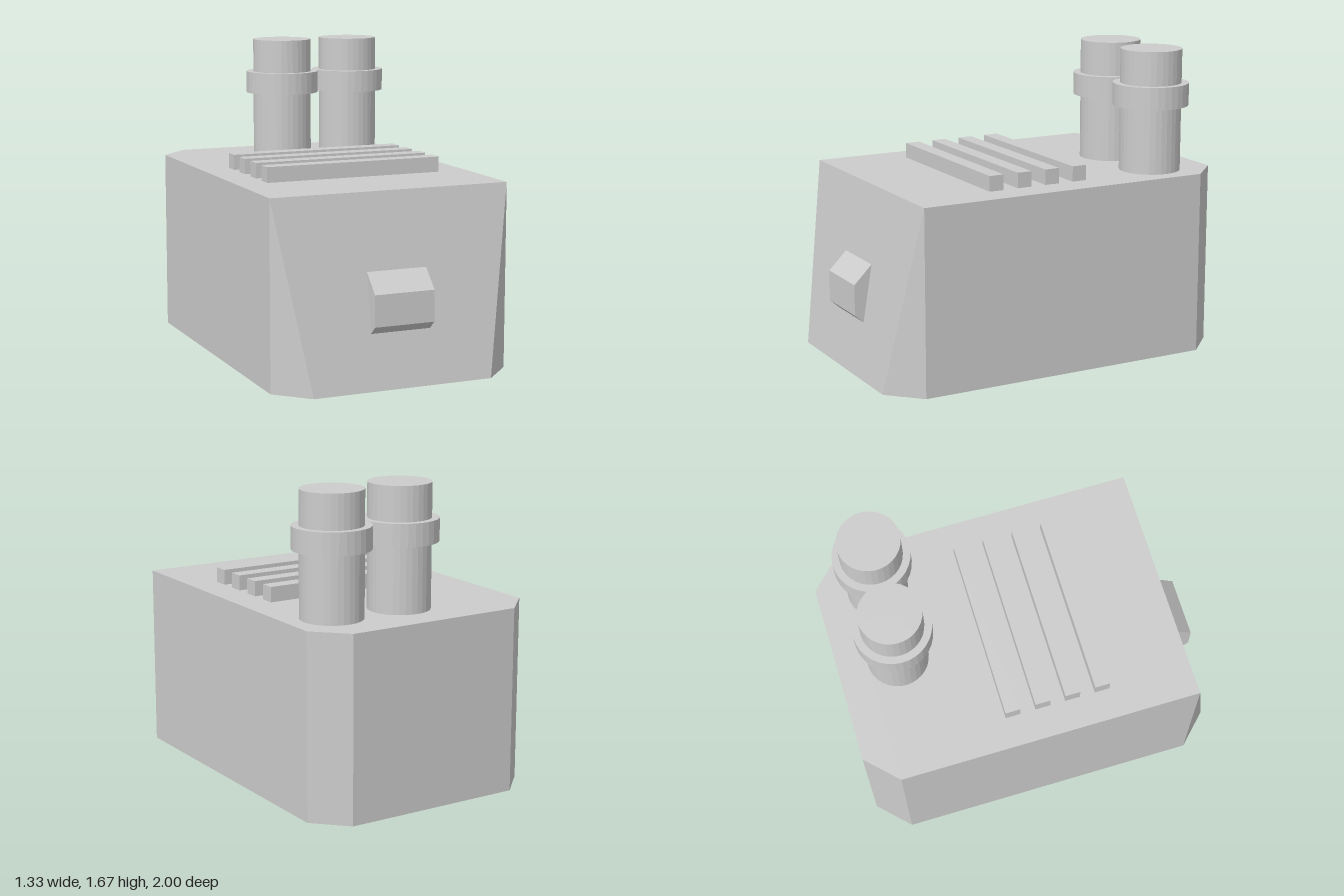
import * as THREE from 'three';
import { ConvexGeometry } from 'three/addons/geometries/ConvexGeometry.js';

const grey = new THREE.MeshStandardMaterial({ color: 0xcccccc, flatShading: true });
grey.name = 'grey';

function add(parent, name, geometry, x = 0, y = 0, z = 0) {
  const mesh = new THREE.Mesh(geometry, grey);
  mesh.name = name;
  mesh.position.set(x, y, z);
  parent.add(mesh);
  return mesh;
}

// Housing: chamfered corners, front face leaning back so its chamfers taper to a point
function housingGeometry() {
  const points = [];
  for (const s of [-1, 1]) {
    for (const y of [0, 1]) {
      points.push(
        new THREE.Vector3(s * 0.5, y, -1),
        new THREE.Vector3(s * 0.667, y, -0.833),
        new THREE.Vector3(s * 0.667, y, 0.833)
      );
    }
    points.push(new THREE.Vector3(s * 0.5, 0, 1));
  }
  return new ConvexGeometry(points);
}

// Front latch: side profile in (z, y), extruded across x
function latchGeometry() {
  const profile = new THREE.Shape([
    [0.88, 0.29], [0.952, 0.29], [1, 0.333], [1, 0.5], [0.9, 0.6], [0.88, 0.6]
  ].map(([z, y]) => new THREE.Vector2(z, y)));
  const geometry = new THREE.ExtrudeGeometry(profile, { depth: 0.333, bevelEnabled: false });
  return geometry.translate(0, 0, -0.1665).rotateY(-Math.PI / 2);
}

export function createModel() {
  const model = new THREE.Group();
  model.name = 'machineHousing';

  add(model, 'housing', housingGeometry());
  add(model, 'frontLatch', latchGeometry());

  // Raised slats across the top
  const slat = new THREE.BoxGeometry(1, 0.083, 0.083);
  for (let i = 0; i < 4; i++) {
    add(model, 'topSlat', slat, 0, 1.0415, 0.333 - i * 0.1667);
  }

  // Twin exhaust stacks, each with a collar
  const pipe = new THREE.CylinderGeometry(0.167, 0.167, 0.667, 32);
  const collar = new THREE.CylinderGeometry(0.207, 0.207, 0.122, 32);
  for (const x of [0, 0.414]) {
    const stack = new THREE.Group();
    stack.name = 'exhaustStack';
    stack.position.set(x, 1, -0.667);
    add(stack, 'exhaustPipe', pipe, 0, 0.3335, 0);
    add(stack, 'exhaustCollar', collar, 0, 0.42, 0);
    model.add(stack);
  }
  return model;
}
